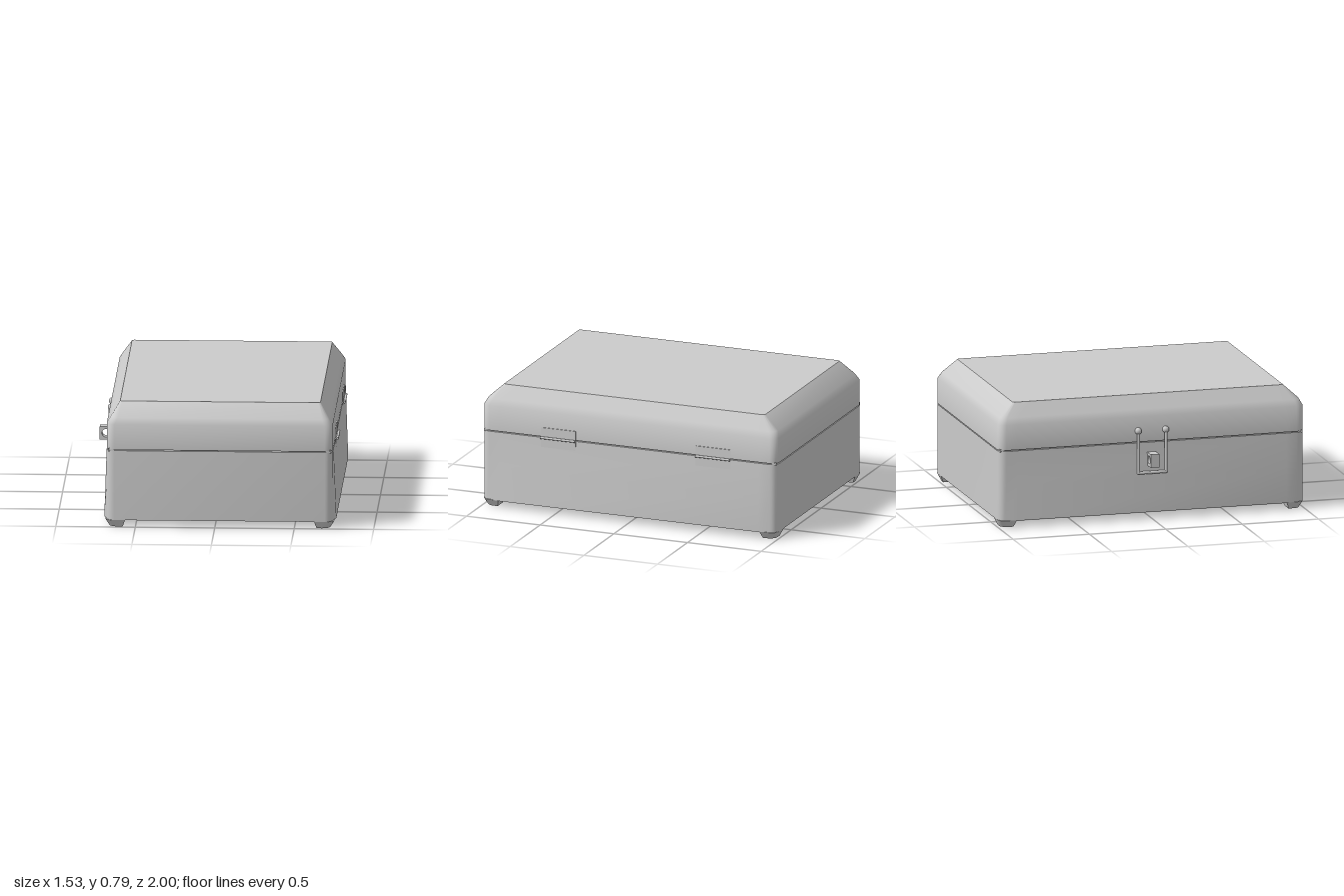
import * as THREE from 'three';
import { toCreasedNormals } from 'three/addons/utils/BufferGeometryUtils.js';

const CX = 0.03; // middle of the box body
const material = new THREE.MeshStandardMaterial({ color: 0xcccccc });

function addMesh(parent, name, geometry, x = 0, y = 0, z = 0) {
  const mesh = new THREE.Mesh(geometry, material);
  mesh.name = name;
  mesh.position.set(x, y, z);
  parent.add(mesh);
  return mesh;
}

// Skin closed rings from bottom to top and cap both ends
function loft(rings, crease = 0.7) {
  const n = rings[0].length, pos = [], index = [];
  rings.forEach(ring => ring.forEach(p => pos.push(...p)));
  for (let i = 0; i < rings.length - 1; i++) {
    for (let j = 0; j < n; j++) {
      const a = i * n + j, b = i * n + (j + 1) % n;
      index.push(a, a + n, b, b, a + n, b + n);
    }
  }
  [0, rings.length - 1].forEach((r, end) => {
    const c = pos.length / 3;
    const mid = [0, 1, 2].map(k => rings[r].reduce((s, p) => s + p[k], 0) / n);
    pos.push(...mid);
    for (let j = 0; j < n; j++) {
      const a = r * n + j, b = r * n + (j + 1) % n;
      if (end) index.push(c, b, a); else index.push(c, a, b);
    }
  });
  const g = new THREE.BufferGeometry();
  g.setAttribute('position', new THREE.Float32BufferAttribute(pos, 3));
  g.setIndex(index);
  return toCreasedNormals(g.toNonIndexed(), crease);
}

// Rounded corner from the +x side to the +z side, as [x, z]
function corner(hx, hz, r) {
  const pts = [];
  for (let i = 0; i <= 6; i++) {
    const t = i / 6 * Math.PI / 2;
    pts.push([hx - r + r * Math.cos(t), hz - r + r * Math.sin(t)]);
  }
  return pts;
}

// Rounded rectangle whose long sides swell by bulge away from the corners
function ring(y, hx, hz, r, bulge = 0) {
  const quarter = [[hx + bulge, hz - 0.12], ...corner(hx, hz, r)];
  const out = [];
  for (const [sx, sz] of [[1, 1], [-1, 1], [-1, -1], [1, -1]]) {
    const q = quarter.map(([x, z]) => [CX + sx * x, y, sz * z]);
    out.push(...(sx * sz > 0 ? q : q.reverse()));
  }
  return out;
}

export function createModel() {
  const model = new THREE.Group();
  model.name = 'hingedBox';

  // Body and lid, parted by a narrow seam
  addMesh(model, 'base', loft([
    ring(0.045, 0.712, 1, 0.05, 0.018),
    ring(0.27, 0.712, 1, 0.05, 0.01),
    ring(0.492, 0.712, 1, 0.05, 0.001),
  ]));
  addMesh(model, 'seamCore', new THREE.BoxGeometry(1.4, 0.02, 1.98), CX, 0.495, 0);
  addMesh(model, 'lid', loft([
    ring(0.498, 0.711, 1, 0.05),
    ring(0.66, 0.711, 1, 0.05),
    ring(0.7, 0.686, 0.98, 0.045),
    ring(0.787, 0.63, 0.885, 0.015),
  ]));

  // Four tapered corner feet
  for (const sx of [1, -1]) {
    for (const sz of [1, -1]) {
      const level = (y, hx, hz, ix, iz) => {
        const pts = [[hx, iz], ...corner(hx, hz, 0.05), [ix, hz], [ix, iz]]
          .map(([x, z]) => [CX + sx * x, y, sz * z]);
        return sx * sz > 0 ? pts : pts.reverse();
      };
      addMesh(model, 'foot', loft([
        level(0, 0.695, 0.98, 0.61, 0.9),
        level(0.046, 0.722, 1, 0.595, 0.885),
      ], 0.6));
    }
  }

  // Hinges: a pin and two thin leaves each
  for (const z of [0.48, -0.57]) {
    const hinge = new THREE.Group();
    hinge.name = 'hinge';
    hinge.position.set(0, 0.494, z);
    const pin = addMesh(hinge, 'hingePin', new THREE.CylinderGeometry(0.008, 0.008, 0.235, 12), 0.755);
    pin.rotation.x = Math.PI / 2;
    for (const s of [1, -1]) {
      addMesh(hinge, 'hingeLeaf', new THREE.BoxGeometry(0.01, 0.06, 0.235), 0.741, s * 0.034, 0);
    }
    model.add(hinge);
  }

  // Swinging wire latch with ball ends
  const latch = new THREE.Group();
  latch.name = 'latch';
  const wire = new THREE.CurvePath();
  const bends = [[0.57, -0.09], [0.3, -0.09], [0.3, 0.09], [0.57, 0.09]]
    .map(([y, z]) => new THREE.Vector3(-0.697, y, z));
  for (let i = 0; i < 3; i++) {
    const length = bends[i].distanceTo(bends[i + 1]);
    const rod = addMesh(latch, 'latchRod', new THREE.CylinderGeometry(0.01, 0.01, length, 12));
    rod.position.lerpVectors(bends[i], bends[i + 1], 0.5);
    if (i === 1) rod.rotation.x = Math.PI / 2;
  }
  bends.forEach((p, i) => {
    const end = i === 0 || i === 3;
    addMesh(latch, end ? 'latchBall' : 'latchBend',
      new THREE.SphereGeometry(end ? 0.022 : 0.01, 16, 12), end ? -0.69 : p.x, p.y, p.z);
  });
  model.add(latch);

  // Pierced staple that passes through the latch
  const plate = new THREE.Shape();
  plate.moveTo(-0.765, 0.345).lineTo(-0.67, 0.345).lineTo(-0.67, 0.43).lineTo(-0.765, 0.43).closePath();
  const hole = new THREE.Path();
  hole.absarc(-0.725, 0.388, 0.026, 0, Math.PI * 2, true);
  plate.holes.push(hole);
  addMesh(model, 'staple', new THREE.ExtrudeGeometry(plate, { depth: 0.056, bevelEnabled: false, curveSegments: 20 }), 0, 0, -0.03);

  return model;
}
